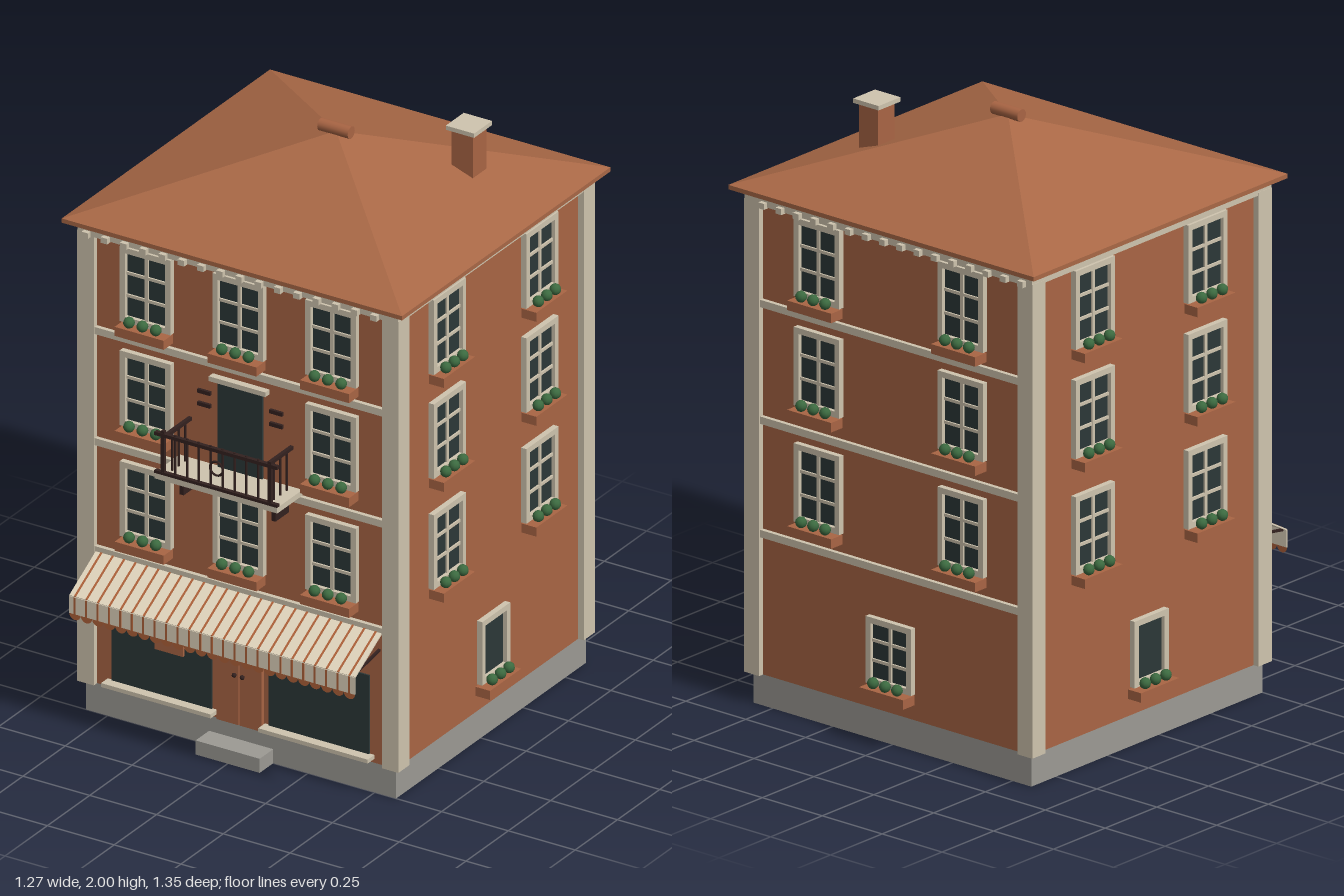
import * as THREE from 'three';

const mat = (name, color, extra = {}) => {
  const m = new THREE.MeshStandardMaterial({ color, ...extra });
  m.name = name;
  return m;
};

export function createModel() {
  const wallM = mat('terracotta wall', 0xa96544);
  const roofM = mat('roof tile', 0xa96846, { flatShading: true });
  const trimM = mat('stone trim', 0xcfc4ae);
  const glassM = mat('dark glass', 0x2c3838);
  const ironM = mat('wrought iron', 0x33211f);
  const plinthM = mat('grey stone', 0x9c9a94);
  const leafM = mat('plant green', 0x3c6a40);
  const clothM = mat('awning cream', 0xe2d6be, { side: THREE.DoubleSide });
  const stripeM = mat('awning orange', 0xb0623a, { side: THREE.DoubleSide });

  const model = new THREE.Group();
  model.name = 'townHouse';

  const add = (parent, name, geo, material, x = 0, y = 0, z = 0) => {
    const m = new THREE.Mesh(geo, material);
    m.name = name;
    m.position.set(x, y, z);
    parent.add(m);
    return m;
  };
  // box given by its extents on each axis
  const box = (parent, name, material, x0, x1, y0, y1, z0, z1) =>
    add(parent, name, new THREE.BoxGeometry(x1 - x0, y1 - y0, z1 - z0), material,
      (x0 + x1) / 2, (y0 + y1) / 2, (z0 + z1) / 2);
  const group = (name, parent = model) => {
    const g = new THREE.Group();
    g.name = name;
    parent.add(g);
    return g;
  };

  const CZ = -0.06, HX = 0.58, HZ = 0.56;   // centre and half sizes of the walls
  const FRONT = CZ + HZ, BACK = CZ - HZ;

  // main masses
  box(model, 'plinth', plinthM, -HX, HX, 0, 0.105, BACK, FRONT);
  box(model, 'walls', wallM, -HX, HX, 0.105, 1.73, BACK, FRONT);
  box(model, 'doorStep', plinthM, -0.12, 0.12, 0, 0.05, FRONT, 0.58);

  // corner pilasters
  for (const sx of [-1, 1]) for (const sz of [-1, 1])
    add(model, 'cornerPilaster', new THREE.BoxGeometry(0.062, 1.6, 0.065), trimM,
      sx * 0.57, 0.905, CZ + sz * 0.5475);

  // cornice, dentils and belt courses
  box(model, 'cornice', trimM, -0.6, 0.6, 1.695, 1.735, CZ - 0.58, CZ + 0.58);
  for (const s of [-1, 1]) {
    for (let i = 0; i < 16; i++)
      add(model, 'dentil', new THREE.BoxGeometry(0.024, 0.02, 0.02), trimM,
        -0.563 + i * 0.072, 1.702, CZ + s * 0.586);
    for (const y of [0.585, 0.968, 1.362])
      add(model, 'beltCourse', new THREE.BoxGeometry(1.08, 0.025, 0.03), trimM, 0, y, CZ + s * HZ);
  }

  // hipped roof with ridge cap
  box(model, 'eaves', roofM, -0.637, 0.637, 1.735, 1.75, CZ - 0.615, CZ + 0.615);
  const pyramid = new THREE.ConeGeometry(Math.SQRT2, 0.22, 4).rotateY(Math.PI / 4);
  pyramid.scale(0.637, 1, 0.615);
  add(model, 'roof', pyramid, roofM, 0, 1.86, CZ);
  add(model, 'ridgeCap', new THREE.CylinderGeometry(0.021, 0.021, 0.114, 16).rotateZ(Math.PI / 2),
    wallM, 0, 1.979, CZ);

  // chimney
  box(model, 'chimney', wallM, 0.318, 0.398, 1.8, 1.985, -0.32, -0.24);
  box(model, 'chimneyCap', trimM, 0.305, 0.411, 1.985, 2.0, -0.333, -0.227);

  // window with flower box, built facing +z with its wall at z = 0
  const makeWindow = (w, h, bars) => {
    const g = new THREE.Group();
    g.name = 'window';
    const x = w / 2, y = h / 2, t = 0.02;
    box(g, 'windowGlass', glassM, -x + t, x - t, -y + t, y - t, -0.005, 0.006);
    for (const s of [-1, 1]) {
      add(g, 'frameSide', new THREE.BoxGeometry(t, h, 0.025), trimM, s * (x - t / 2), 0, 0.0075);
      add(g, 'frameRail', new THREE.BoxGeometry(w - 2 * t, t, 0.025), trimM, 0, s * (y - t / 2), 0.0075);
    }
    if (bars) {
      add(g, 'mullion', new THREE.BoxGeometry(0.012, h - 2 * t, 0.014), trimM, 0, 0, 0.006);
      for (const s of [-1, 1])
        add(g, 'glazingBar', new THREE.BoxGeometry(w - 2 * t, 0.01, 0.012), trimM, 0, s * h * 0.15, 0.006);
    }
    box(g, 'flowerBox', wallM, -0.092, 0.092, -y - 0.037, -y - 0.005, 0, 0.055);
    for (const i of [-1, 0, 1])
      add(g, 'plant', new THREE.SphereGeometry(0.019, 10, 8), leafM, i * 0.05, -y + 0.013, 0.036);
    return g;
  };
  // side: 0 front, 1 model's left (+x), 2 back, 3 model's right (-x)
  const placeWindow = (side, u, y, w = 0.19, h = 0.265, bars = true) => {
    const g = makeWindow(w, h, bars);
    g.rotation.y = side * Math.PI / 2;
    if (side === 0) g.position.set(u, y, FRONT);
    if (side === 1) g.position.set(HX, y, u);
    if (side === 2) g.position.set(u, y, BACK);
    if (side === 3) g.position.set(-HX, y, u);
    model.add(g);
  };
  const floors = [0.795, 1.188, 1.557];
  floors.forEach((y, f) => {
    for (const x of [-0.347, 0, 0.347]) if (f !== 1 || x !== 0) placeWindow(0, x, y);
    for (const x of [-0.3, 0.3]) placeWindow(2, x, y);
    for (const side of [1, 3]) for (const z of [0.213, -0.333]) placeWindow(side, z, y);
  });
  placeWindow(1, CZ, 0.313, 0.165, 0.225, false);
  placeWindow(3, CZ, 0.313, 0.165, 0.225, false);
  placeWindow(2, 0, 0.305, 0.19, 0.225);

  // shop windows and entrance
  const shop = group('shopFront');
  for (const s of [-1, 1]) {
    add(shop, 'shopGlass', new THREE.BoxGeometry(0.375, 0.28, 0.012), glassM, s * 0.294, 0.272, FRONT);
    add(shop, 'shopSill', new THREE.BoxGeometry(0.41, 0.014, 0.05), trimM, s * 0.294, 0.126, FRONT + 0.015);
    add(shop, 'doorLeaf', new THREE.BoxGeometry(0.083, 0.31, 0.02), wallM, s * 0.0435, 0.262, FRONT + 0.003);
    add(shop, 'doorKnob', new THREE.SphereGeometry(0.008, 8, 6), ironM, s * 0.015, 0.283, FRONT + 0.018);
  }
  add(shop, 'doorGap', new THREE.BoxGeometry(0.005, 0.31, 0.004), ironM, 0, 0.262, FRONT + 0.001);

  // hanging sign
  box(shop, 'signBoard', wallM, -0.272, -0.165, 0.335, 0.425, 0.574, 0.584);
  box(shop, 'signArm', ironM, -0.224, -0.213, 0.427, 0.437, FRONT, 0.585);

  // awning: sloped cloth, valance, scallops, stripes and stays
  const awning = group('awning');
  const top = [0.583, 0.505], low = [0.49, 0.67];
  const slope = Math.atan2(top[0] - low[0], low[1] - top[1]);
  const len = Math.hypot(top[0] - low[0], low[1] - top[1]);
  const canopy = group('canopy', awning);
  canopy.position.set(0, (top[0] + low[0]) / 2, (top[1] + low[1]) / 2);
  canopy.rotation.x = slope;
  add(canopy, 'canopyCloth', new THREE.BoxGeometry(1.07, 0.005, len), clothM);
  add(awning, 'valance', new THREE.BoxGeometry(1.07, 0.06, 0.004), clothM, 0, 0.46, 0.671);
  const N = 25, pitch = 1.07 / N;
  for (let i = 0; i < N; i++) {
    const x = -0.535 + (i + 0.5) * pitch;
    add(awning, 'scallop', new THREE.CircleGeometry(pitch / 2, 12, Math.PI, Math.PI), stripeM, x, 0.43, 0.671);
    add(canopy, 'stripe', new THREE.BoxGeometry(0.007, 0.002, len), stripeM, x, 0.003, 0);
    add(awning, 'valanceStripe', new THREE.BoxGeometry(0.007, 0.06, 0.002), stripeM, x, 0.46, 0.6735);
  }
  for (const s of [-1, 1]) {
    const stay = add(awning, 'awningStay', new THREE.BoxGeometry(0.008, 0.008, 0.165), ironM, s * 0.52, 0.5, 0.585);
    stay.rotation.x = 0.15;
  }

  // balcony door with lintel and louvres
  const balcony = group('balcony');
  box(balcony, 'balconyDoor', glassM, -0.083, 0.083, 1.0, 1.306, FRONT, FRONT + 0.008);
  box(balcony, 'doorLintel', trimM, -0.106, 0.106, 1.305, 1.322, FRONT, FRONT + 0.025);
  for (const s of [-1, 1]) for (const y of [1.205, 1.25])
    add(balcony, 'louvre', new THREE.BoxGeometry(0.048, 0.013, 0.012), ironM, s * 0.135, y, FRONT + 0.004);

  // balcony slab, railing and brackets
  box(balcony, 'balconySlab', trimM, -0.23, 0.23, 0.98, 1.0, FRONT, 0.65);
  box(balcony, 'topRail', ironM, -0.23, 0.23, 1.134, 1.146, 0.637, 0.651);
  box(balcony, 'bottomRail', ironM, -0.23, 0.23, 1.0, 1.01, 0.637, 0.651);
  for (let i = 0; i < 10; i++) {
    const x = -0.2 + i * 0.4 / 9;
    add(balcony, 'baluster', new THREE.CylinderGeometry(0.004, 0.004, 0.15, 6), ironM, x, 1.075, 0.644);
  }
  add(balcony, 'railRing', new THREE.TorusGeometry(0.024, 0.004, 6, 20), ironM, 0, 1.075, 0.646);
  for (const s of [-1, 1]) {
    add(balcony, 'sideRail', new THREE.BoxGeometry(0.012, 0.012, 0.145), ironM, s * 0.19, 1.14, 0.572);
    add(balcony, 'cornerPost', new THREE.BoxGeometry(0.012, 0.155, 0.012), ironM, s * 0.2, 1.078, 0.644);
    for (const z of [0.53, 0.57, 0.607])
      add(balcony, 'sideBaluster', new THREE.CylinderGeometry(0.004, 0.004, 0.14, 6), ironM, s * 0.19, 1.07, z);
    add(balcony, 'balconyBracket', new THREE.BoxGeometry(0.015, 0.05, 0.08), ironM, s * 0.172, 0.932, 0.54);
  }

  return model;
}
